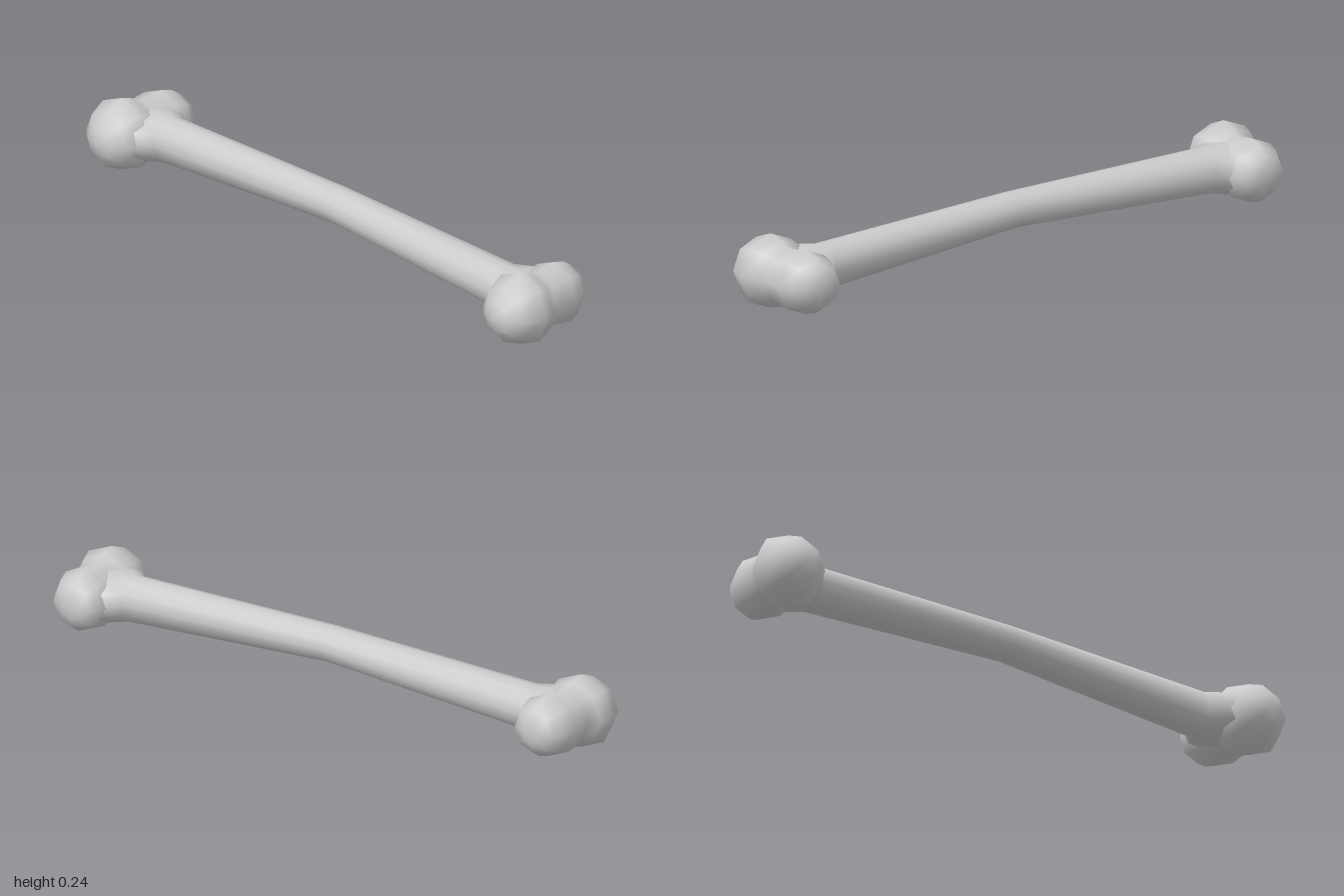
import * as THREE from 'three';
import { mergeVertices } from 'three/addons/utils/BufferGeometryUtils.js';

const material = new THREE.MeshStandardMaterial({ color: 0xcccccc });

// Smooth shading across seams: drop split attributes and weld
function weld(geometry) {
  geometry.deleteAttribute('uv');
  geometry.deleteAttribute('normal');
  const welded = mergeVertices(geometry, 1e-4);
  welded.computeVertexNormals();
  return welded;
}

// Shaft with flared necks: elliptical sections [x, centreY, halfY, centreZ, halfZ]
function shaftGeometry() {
  const sections = [
    [-0.87, 0.122, 0.07, -0.008, 0.135],
    [-0.81, 0.122, 0.078, -0.008, 0.135],
    [-0.74, 0.125, 0.073, -0.01, 0.071],
    [0, 0.154, 0.056, -0.01, 0.062],
    [0.74, 0.125, 0.073, -0.01, 0.071],
    [0.80, 0.122, 0.078, -0.008, 0.14],
    [0.87, 0.122, 0.07, -0.008, 0.14],
  ];
  const n = sections.length - 1;
  const geometry = new THREE.CylinderGeometry(1, 1, 1, 12, n, true);
  const p = geometry.attributes.position;
  for (let i = 0; i < p.count; i++) {
    const [x, cy, ry, cz, rz] = sections[Math.round((p.getY(i) + 0.5) * n)];
    p.setXYZ(i, x, cy - p.getX(i) * ry, cz + p.getZ(i) * rz);
  }
  return weld(geometry);
}

// Pair of knuckles turned about the z axis: a large front ball, a waist, a smaller back ball
function knuckleGeometry(side, frontScale) {
  const profile = [
    [0, -0.183], [0.035, -0.179], [0.068, -0.167], [0.089, -0.135], [0.102, -0.09],
    [0.09, -0.02], [0.106, 0.02], [0.119, 0.065], [0.091, 0.135], [0.05, 0.17], [0, 0.183],
  ].map(([r, z]) => new THREE.Vector2(r, z));
  const geometry = new THREE.LatheGeometry(profile, 8);
  geometry.rotateX(Math.PI / 2);
  const p = geometry.attributes.position;
  for (let i = 0; i < p.count; i++) {
    const z = p.getZ(i);
    // The front ball sits a little further out than the back one
    p.setX(i, p.getX(i) + side * (0.876 + 0.08 * Math.min(z, 0.065)));
    p.setY(i, p.getY(i) + 0.121);
    if (z > 0) p.setZ(i, z * frontScale);
  }
  return weld(geometry);
}

export function createModel() {
  const bone = new THREE.Group();
  bone.name = 'bone';
  const add = (name, geometry) => {
    const mesh = new THREE.Mesh(geometry, material);
    mesh.name = name;
    bone.add(mesh);
  };
  add('shaft', shaftGeometry());
  add('leftKnuckles', knuckleGeometry(1, 0.98));
  add('rightKnuckles', knuckleGeometry(-1, 0.93));
  return bone;
}
